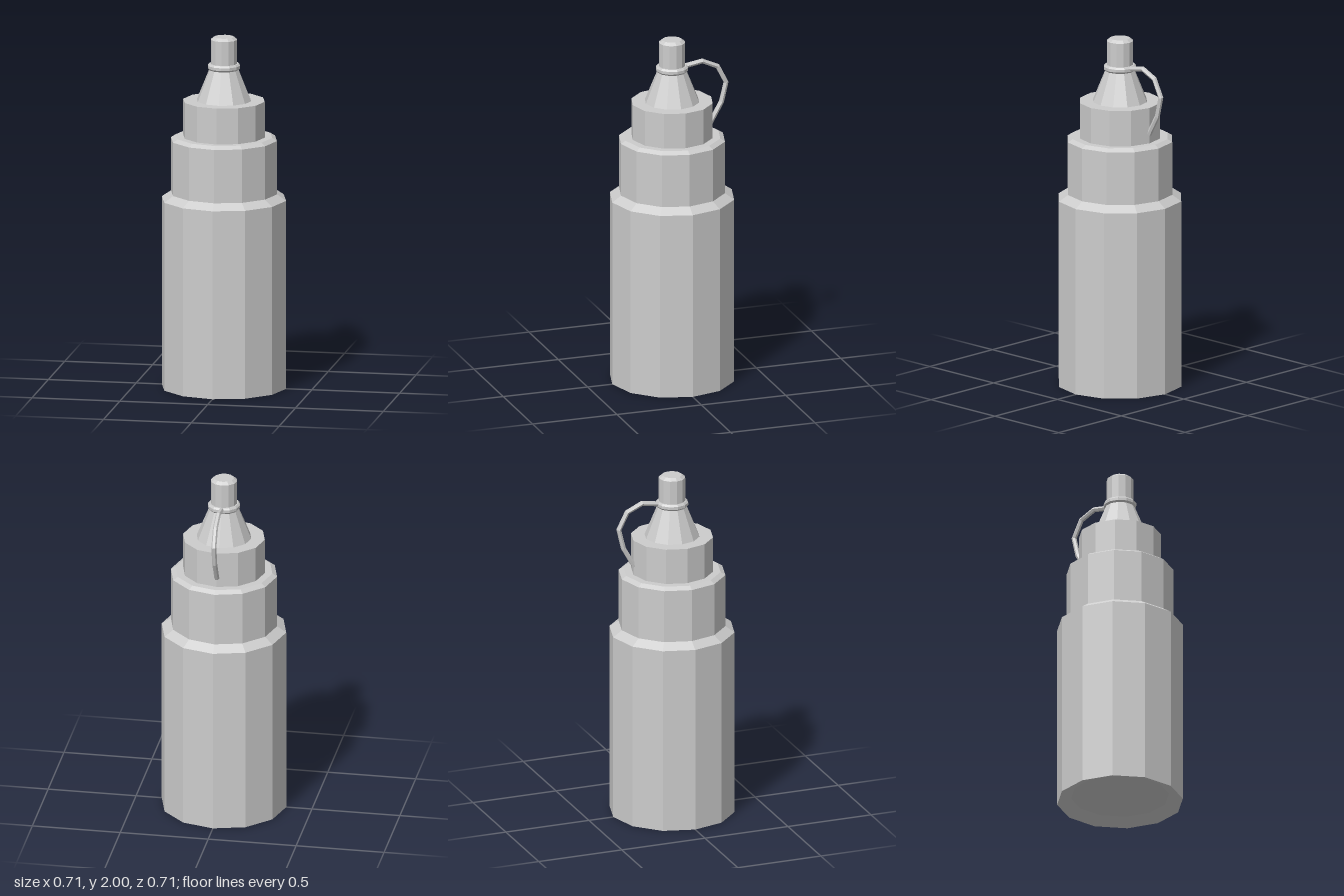
import * as THREE from 'three';

const SIDES = 12;

export function createModel() {
  const model = new THREE.Group();
  model.name = 'squeezeBottle';

  const grey = new THREE.MeshStandardMaterial({ color: 0xcccccc });
  grey.name = 'grey';
  grey.flatShading = true;

  // Turned part from a [radius, height] profile, listed bottom to top
  function turned(name, profile) {
    const points = profile.map(([r, y]) => new THREE.Vector2(r, y));
    const mesh = new THREE.Mesh(new THREE.LatheGeometry(points, SIDES), grey);
    mesh.name = name;
    model.add(mesh);
  }

  // Body with a dished base and sloped shoulder
  turned('body', [[0, 0.035], [0.275, 0.035], [0.354, 0], [0.354, 1.075], [0.302, 1.11]]);
  // Stepped caps
  turned('lowerCap', [[0.302, 1.11], [0.302, 1.415], [0.275, 1.432], [0.232, 1.432]]);
  turned('upperCap', [[0.232, 1.432], [0.232, 1.637], [0.155, 1.637]]);
  // Nozzle cone, collar and tip cover
  turned('nozzleCone', [[0.155, 1.637], [0.083, 1.815]]);
  turned('collar', [[0.083, 1.812], [0.092, 1.822], [0.092, 1.838], [0.083, 1.848], [0.075, 1.848]]);
  turned('tipCover', [[0.075, 1.845], [0.075, 1.985], [0.056, 2], [0, 2]]);

  // Retaining strap looping down the back, one tube section per path point
  const path = [
    [1.835, -0.075], [1.853, -0.18], [1.812, -0.27],
    [1.713, -0.32], [1.6, -0.293], [1.485, -0.228],
  ].map(([y, z]) => new THREE.Vector3(0, y, z));
  const curve = new THREE.CatmullRomCurve3(path);
  curve.getPointAt = (t, target) => curve.getPoint(t, target);
  curve.getTangentAt = (t, target) => curve.getTangent(t, target);
  const strap = new THREE.Mesh(
    new THREE.TubeGeometry(curve, path.length - 1, 0.0145, 6), grey);
  strap.name = 'strap';
  model.add(strap);

  return model;
}
